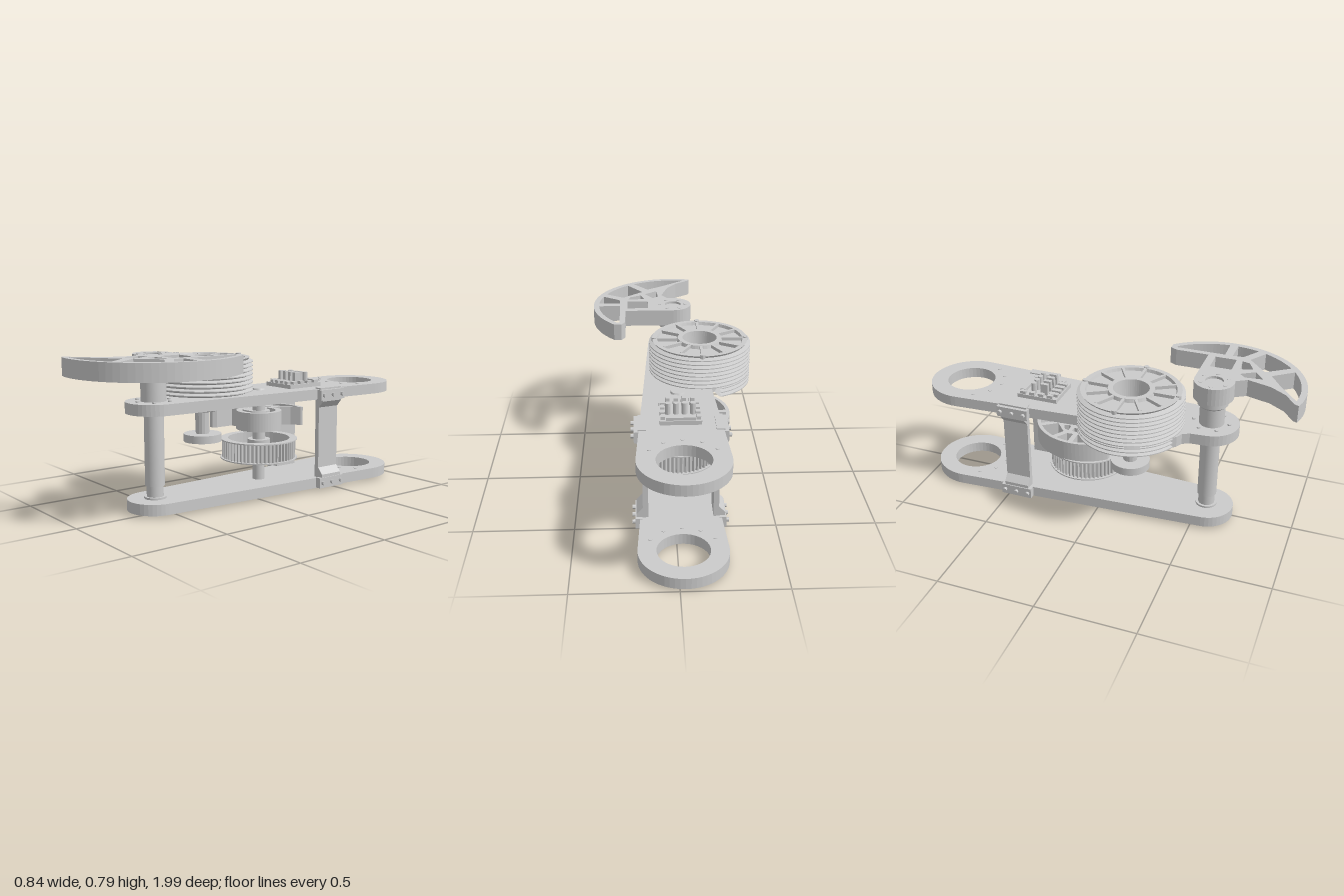
import * as THREE from 'three';

const smooth = new THREE.MeshStandardMaterial({ color: 0xcccccc, side: THREE.DoubleSide });
const flat = new THREE.MeshStandardMaterial({ color: 0xcccccc, flatShading: true, side: THREE.DoubleSide });
const CX = -0.026;                         // shared centre line of the frame
const WIDE = -0.785, POST = 0.55, SHAFT = -0.11;
const DRUM = [-0.153, 0.17];

function add(parent, name, geo, x = 0, y = 0, z = 0, mat = flat) {
  const m = new THREE.Mesh(geo, mat);
  m.name = name;
  m.position.set(x, y, z);
  parent.add(m);
  return m;
}
const box = (p, name, w, h, d, x, y, z) => add(p, name, new THREE.BoxGeometry(w, h, d), x, y, z);
// Upright cylinder between two heights
const cyl = (p, name, r0, r1, y0, y1, x, z, n = 32) =>
  add(p, name, new THREE.CylinderGeometry(r1, r0, y1 - y0, n), x, (y0 + y1) / 2, z, n < 16 ? flat : smooth);
const polar = (r, a) => [r * Math.cos(a), r * Math.sin(a)];
const rad = d => d * Math.PI / 180;
const arc = (r, a, b, n = 16) => Array.from({ length: n + 1 }, (_, i) => polar(r, rad(a + (b - a) * i / n)));
const circle = (r, n = 40) => arc(r, 0, 360, n).slice(0, -1);
const move = (pts, x, z) => pts.map(p => [p[0] + x, p[1] + z]);

// Extrudes an outline given as [x, z] points upward, with through holes
function slab(outline, holes, h) {
  const v = pts => pts.map(([x, z]) => new THREE.Vector2(x, -z));
  const s = new THREE.Shape(v(outline));
  s.holes = holes.map(p => new THREE.Path(v(p)));
  return new THREE.ExtrudeGeometry(s, { depth: h, bevelEnabled: false }).rotateX(-Math.PI / 2);
}
const ring = (r, ri, h) => slab(circle(r, 48), [circle(ri, 48)], h);

// Long plate outline: wide back end tapering to a narrow front end; extra points bulge the right edge
const plateOutline = (extra = []) => [
  ...move(arc(0.215, 177, 363, 28), CX, WIDE), ...move(arc(0.14, 3, 177, 20), CX, POST), ...extra];
const bigHole = move(circle(0.127), CX, WIDE);

function plateScrews(g, y) {
  for (let i = 0; i < 5; i++) {
    const [x, z] = polar(0.178, rad(30 + 30 * i));
    cyl(g, 'plateScrew', 0.01, 0.01, y - 0.01, y + 0.003, CX + x, WIDE + z, 8);
  }
}

// Lower plate: thin deck over a rim, leaving a hollow underside
function lowerPlate(g) {
  const p = new THREE.Group();
  p.name = 'lowerPlate';
  g.add(p);
  const hollow = [[CX - 0.178, -0.5], [CX + 0.178, -0.5], [CX + 0.133, 0.39], [CX - 0.133, 0.39]];
  add(p, 'plateRim', slab(plateOutline(), [bigHole, hollow, move(circle(0.122), CX, POST)], 0.03), 0, 0.014, 0);
  add(p, 'plateDeck', slab(plateOutline(), [bigHole], 0.026), 0, 0.044, 0);
  add(p, 'shaftBoss', ring(0.045, 0.025, 0.03), CX, 0.014, SHAFT);
  plateScrews(p, 0.07);
}

// Upper plate: solid, swelling out beneath the drum
function upperPlate(g) {
  const p = new THREE.Group();
  p.name = 'upperPlate';
  g.add(p);
  const bulge = [[-0.172, 0.48], [-0.19, 0.445], [-0.225, 0.428], [-0.248, 0.4], [-0.25, 0.06], [-0.2, -0.04]];
  add(p, 'plateDeck', slab(plateOutline(bulge), [bigHole], 0.056), 0, 0.5, 0);
  plateScrews(p, 0.556);
}

// Zigzag fin profile rising from a given height
function fins(y0, count) {
  const prof = [];
  for (let i = 0; i < count; i++) {
    const y = y0 + i * 0.0215;
    prof.push([0.243, y], [0.267, y + 0.008], [0.267, y + 0.013], [0.243, y + 0.0205]);
  }
  return prof;
}

function finnedDrum(g) {
  const d = new THREE.Group();
  d.name = 'finnedDrum';
  d.position.set(DRUM[0], 0, DRUM[1]);
  g.add(d);
  const lathe = (name, prof, start = 0, len = Math.PI * 2) =>
    add(d, name, new THREE.LatheGeometry(prof.map(p => new THREE.Vector2(...p)), 48, start, len));
  lathe('drumBody', [[0, 0.554], [0.235, 0.554], ...fins(0.556, 8), [0.25, 0.738], [0.225, 0.738],
    [0.22, 0.722], [0.12, 0.722], [0.115, 0.74], [0.09, 0.74], [0.08, 0.62], [0, 0.62]]);
  // Lower fins only where the drum overhangs the plate edge
  lathe('drumOverhang', [[0.1, 0.502], ...fins(0.502, 3)], rad(270 - 68), rad(136));
  for (let i = 0; i < 12; i++) {
    const a = i * Math.PI / 6;
    const [x, z] = polar(0.17, a);
    box(d, 'drumRib', 0.115, 0.018, 0.014, x, 0.73, z).rotation.y = -a;
    if (i % 3 === 0) cyl(d, 'drumBolt', 0.014, 0.014, 0.72, 0.744, ...polar(0.24, a), 10);
  }
  for (let i = 0; i < 6; i++) cyl(d, 'drumHubBolt', 0.01, 0.01, 0.62, 0.65, ...polar(0.05, i * Math.PI / 3), 8);
  // Spool hanging under the plate
  cyl(d, 'spoolLowerFlange', 0.1, 0.1, 0.292, 0.333, 0, 0);
  cyl(d, 'spoolCore', 0.036, 0.04, 0.333, 0.46, 0, 0, 14);
  cyl(d, 'spoolUpperCone', 0.075, 0.1, 0.455, 0.475, 0, 0);
  cyl(d, 'spoolUpperFlange', 0.1, 0.1, 0.475, 0.501, 0, 0);
}

// Spoked sector arm, hub at the origin
function sectorArm(h) {
  const outline = [
    ...arc(0.443, -43, 100, 32), [-0.113, 0.425], [-0.105, 0.405], [-0.03, 0.35], [0.025, 0.27],
    [0.06, 0.15], ...arc(0.1, 75, 270, 18), [0.265, -0.1], [0.265, -0.27], [0.285, -0.305]];
  const holes = [
    [[0.295, -0.02], [0.295, -0.27], ...arc(0.413, -42, -3)],
    [[0.295, 0.02], ...arc(0.413, 3, 19, 8), [0.3, 0.075]],
    [[0.28, 0.115], ...arc(0.413, 25, 52, 10), [0.17, 0.21]],
    [[0.14, 0.25], ...arc(0.413, 58, 100, 14), [0.05, 0.31]],
    [[0.14, -0.06], [0.255, -0.06], [0.255, 0.05], [0.14, 0.05]],
    [[0.08, 0.13], [0.11, 0.1], [0.155, 0.17], [0.09, 0.22]],
    [[0.16, 0.09], [0.25, 0.08], [0.24, 0.12], [0.18, 0.15]],
    circle(0.045, 24)];
  return slab(outline, holes, h);
}

function toothedPulley(g) {
  const p = new THREE.Group();
  p.name = 'toothedPulley';
  p.position.set(CX, 0, SHAFT);
  g.add(p);
  const n = 56, teeth = [];
  for (let i = 0; i < n; i++)
    [[0, 0.185], [0.2, 0.197], [0.5, 0.197], [0.7, 0.185]].forEach(([t, r]) => teeth.push(polar(r, (i + t) * 2 * Math.PI / n)));
  add(p, 'pulleyTeeth', slab(teeth, [circle(0.165, 48)], 0.1), 0, 0.192, 0);
  for (const y of [0.188, 0.29]) add(p, 'pulleyFlange', ring(0.206, 0.165, 0.006), 0, y, 0);
  for (let i = 0; i < 5; i++) {
    const a = i * 2 * Math.PI / 5;
    const [x, z] = polar(0.11, a);
    box(p, 'pulleySpoke', 0.13, 0.05, 0.025, x, 0.22, z).rotation.y = -a;
  }
  cyl(p, 'pulleyHub', 0.06, 0.06, 0.19, 0.29, 0, 0);
  cyl(p, 'pulleyLowerHub', 0.06, 0.078, 0.155, 0.192, 0, 0);
  cyl(p, 'shaft', 0.033, 0.033, 0.07, 0.5, 0, 0);
  cyl(p, 'shaftBearing', 0.04, 0.035, 0.553, 0.565, 0, 0, 20);
}

// Side strut, joggled outward at both ends to clamp the plate edges
function sideStrut(g, side) {
  const s = new THREE.Group();
  s.name = side > 0 ? 'leftStrut' : 'rightStrut';
  s.position.set(CX, 0, -0.442);
  g.add(s);
  const prof = [[0.195, 0.02], [0.218, 0.02], [0.218, 0.09], [0.187, 0.125], [0.187, 0.455], [0.218, 0.49],
    [0.218, 0.55], [0.195, 0.55], [0.195, 0.5], [0.16, 0.5], [0.16, 0.07], [0.195, 0.07]];
  const shape = new THREE.Shape(prof.map(([x, y]) => new THREE.Vector2(x * side, y)));
  add(s, 'strutBar', new THREE.ExtrudeGeometry(shape, { depth: 0.135, bevelEnabled: false }), 0, 0, -0.0675);
  for (const y of [0.045, 0.525]) {
    box(s, 'strutClamp', 0.035, 0.056, 0.17, side * 0.206, y, 0);
    for (const z of [-0.065, 0, 0.065]) {
      const bolt = cyl(s, 'strutBolt', 0.011, 0.011, -0.012, 0.012, 0, 0, 8);
      bolt.rotation.z = Math.PI / 2;
      bolt.position.set(side * 0.226, y, z);
    }
  }
  box(s, 'strutTopPad', 0.04, 0.01, 0.15, side * 0.185, 0.557, 0);
}

function electronics(g) {
  const e = new THREE.Group();
  e.name = 'controlBoard';
  e.position.set(CX, 0, -0.355);
  g.add(e);
  box(e, 'board', 0.2, 0.022, 0.22, 0, 0.566, 0);
  for (let i = 0; i < 4; i++) {
    const x = -0.06 + 0.04 * i;
    box(e, 'connectorPost', 0.02, 0.065, 0.04, x, 0.605, 0.03);
    box(e, 'connectorSocket', 0.024, 0.02, 0.05, x, 0.582, 0.08);
    cyl(e, 'capacitor', 0.014, 0.014, 0.57, 0.635, x, -0.03, 12);
  }
  box(e, 'headerStrip', 0.14, 0.02, 0.03, 0, 0.582, -0.09);
  for (const s of [-1, 1]) for (let i = 0; i < 4; i++) box(e, 'terminal', 0.022, 0.02, 0.03, s * 0.085, 0.582, -0.08 + i * 0.05);
}

export function createModel() {
  const g = new THREE.Group();
  g.name = 'armMechanism';
  lowerPlate(g);
  upperPlate(g);
  for (const s of [-1, 1]) sideStrut(g, s);

  // Front post with stepped collars
  cyl(g, 'postFoot', 0.055, 0.055, 0.068, 0.08, CX, POST);
  cyl(g, 'postLower', 0.042, 0.042, 0.08, 0.135, CX, POST);
  cyl(g, 'postMiddle', 0.049, 0.049, 0.135, 0.5, CX, POST);
  cyl(g, 'postUpper', 0.063, 0.063, 0.55, 0.655, CX, POST);
  cyl(g, 'postFlare', 0.063, 0.077, 0.652, 0.665, CX, POST);
  cyl(g, 'postHead', 0.077, 0.077, 0.665, 0.702, CX, POST);
  for (let i = 0; i < 6; i++) {
    const [x, z] = polar(0.09, rad(60 * i + 30));
    cyl(g, 'footScrew', 0.01, 0.01, 0, 0.046, CX + x, POST + z, 8);
    cyl(g, 'collarScrew', 0.01, 0.01, 0.55, 0.563, CX + x, POST + z, 8);
    const [hx, hz] = polar(0.07, rad(60 * i));
    cyl(g, 'hubScrew', 0.011, 0.011, 0.78, 0.79, CX + hx, POST + hz, 8);
  }
  cyl(g, 'armHubCore', 0.046, 0.046, 0.7, 0.775, CX, POST);

  // Large output arm, and a smaller reversed one with a ring hub on the inner shaft
  add(g, 'outputArm', sectorArm(0.088), CX, 0.7, POST);
  const inner = add(g, 'innerArm', sectorArm(0.1), CX, 0.345, SHAFT);
  inner.scale.set(0.6, 1, 0.6);
  inner.rotation.y = Math.PI;
  add(g, 'innerArmRing', ring(0.121, 0.09, 0.1), CX, 0.345, SHAFT);

  finnedDrum(g);
  toothedPulley(g);
  electronics(g);
  return g;
}
